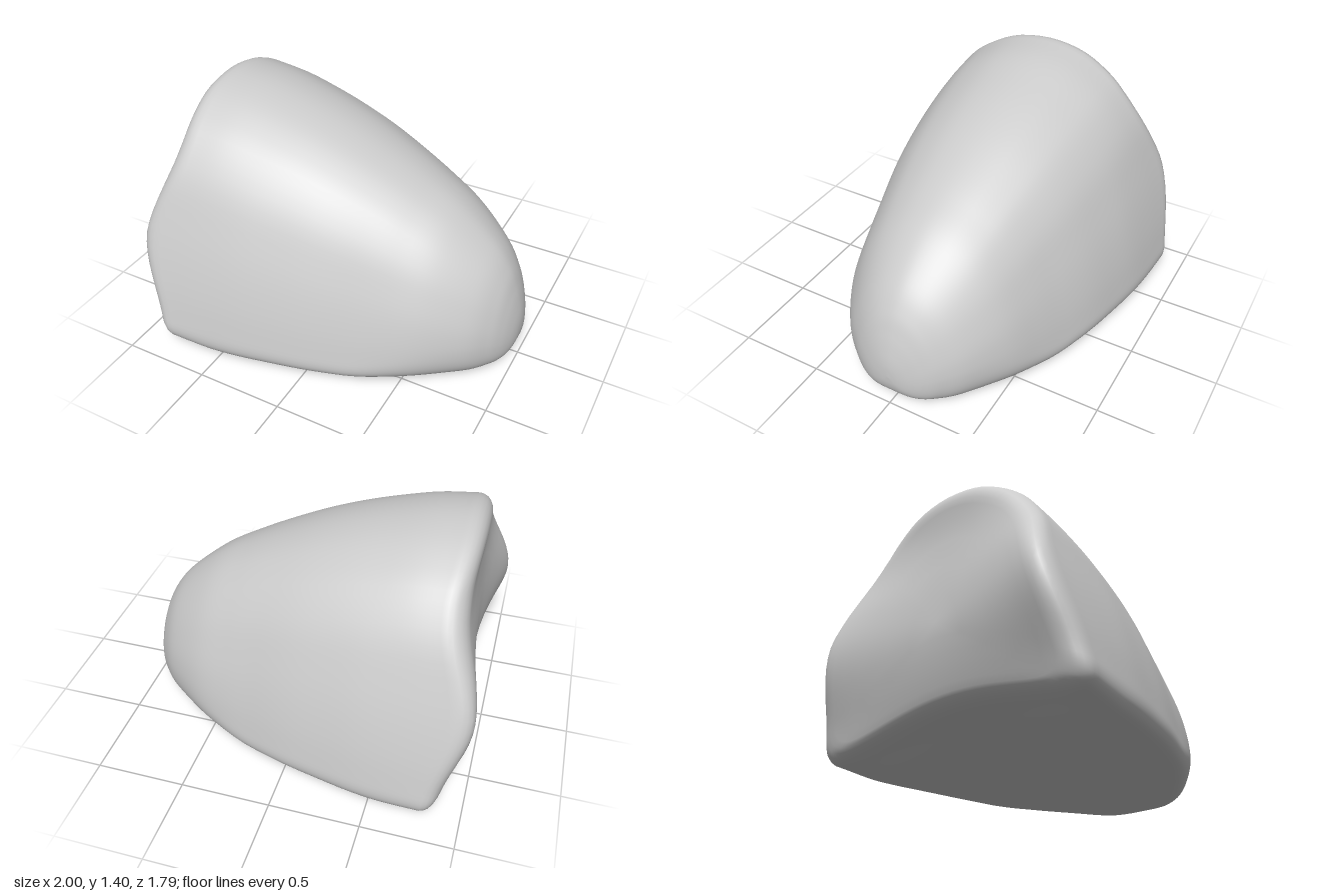
import * as THREE from 'three';

// Stations from back to tip: [x, bottom, top, half width]
const STATIONS = [
  [-0.8, 0.006, 1.4, 0.893], [-0.6, 0.006, 1.375, 0.875], [-0.4, 0.008, 1.325, 0.85],
  [-0.2, 0.012, 1.265, 0.81], [0, 0.014, 1.19, 0.762], [0.2, 0.012, 1.1, 0.697],
  [0.4, 0.008, 1.0, 0.62], [0.6, 0.003, 0.885, 0.525], [0.8, 0.005, 0.715, 0.385],
  [0.9, 0.025, 0.58, 0.277], [0.95, 0.05, 0.46, 0.2], [0.98, 0.09, 0.355, 0.127],
  [0.995, 0.14, 0.275, 0.062], [1, 0.2, 0.2, 0],
];
// Half cross-sections: [fraction of half width, fraction of height]
const DOME = [
  [0, 1], [0.22, 0.98], [0.4, 0.928], [0.55, 0.855], [0.7, 0.725], [0.81, 0.565], [0.89, 0.42],
  [0.95, 0.275], [0.987, 0.15], [1, 0.085], [0.985, 0.043], [0.94, 0.017], [0.84, 0.003], [0.6, 0], [0.3, 0],
];
const TIP = [
  [0, 1], [0.22, 0.975], [0.42, 0.92], [0.6, 0.835], [0.75, 0.73], [0.87, 0.61], [0.95, 0.5],
  [0.99, 0.4], [1, 0.32], [0.985, 0.23], [0.94, 0.15], [0.86, 0.085], [0.74, 0.04], [0.55, 0.01], [0.28, 0],
];
// Back rows: [x, scale towards the middle of the back]
const BACK = [
  [-0.9, 0], [-0.9, 0.2], [-0.9, 0.4], [-0.9, 0.6], [-0.9, 0.75], [-0.899, 0.84],
  [-0.895, 0.885], [-0.884, 0.925], [-0.868, 0.957], [-0.848, 0.98], [-0.825, 0.994],
];
const RING = 96, ROWS = 84;

// Shift of the hollow back: bulging side rims, cut in along the bottom
function backShift(y, z) {
  const { smoothstep } = THREE.MathUtils;
  const rim = 0.095 * Math.exp(-(((y - 0.65) / 0.36) ** 2)) * Math.min(1.12, (z / 0.7) ** 2);
  const middle = 0.015 * Math.exp(-(((y - 0.65) / 0.3) ** 2));
  const cut = 0.12 * Math.exp(-((y / 0.33) ** 2)) * Math.max(0, 1 - z * z);
  const high = 0.02 * smoothstep(y, 0.8, 1.1) - 0.03 * smoothstep(y, 1.15, 1.38);
  return cut + high - rim - middle;
}

function spline(points, closed) {
  return new THREE.CatmullRomCurve3(points, closed, 'catmullrom', 0.5);
}

// Full ring from a mirrored half cross-section
function sectionRing(half) {
  const left = half.map(([s, t]) => new THREE.Vector3(s, t, 0));
  const right = half.slice(1).reverse().map(([s, t]) => new THREE.Vector3(-s, t, 0));
  const curve = spline([...left, new THREE.Vector3(0, 0, 0), ...right], true);
  return Array.from({ length: RING }, (_, j) => curve.getPoint(j / RING));
}

function createShell() {
  const { smoothstep, lerp } = THREE.MathUtils;
  const heights = spline(STATIONS.map(([x, b, h]) => new THREE.Vector3(x, b, h)), false);
  const widths = spline(STATIONS.map(([x, , , w]) => new THREE.Vector3(x, w, 0)), false);
  const dome = sectionRing(DOME), tip = sectionRing(TIP);

  // Rows of the loft: hollow back first, then the body out to the tip
  const rows = BACK.map(([x, scale]) => ({ x, scale, b: 0.006, h: 1.4, w: 0.893 }));
  for (let i = 0; i <= ROWS; i++) {
    const p = heights.getPoint(i / ROWS);
    rows.push({ x: p.x, scale: 1, b: p.y, h: p.z, w: Math.max(0, widths.getPoint(i / ROWS).y) });
  }

  const positions = [], index = [];
  rows.forEach(({ x, scale, b, h, w }, i) => {
    const fade = 1 - smoothstep(x, -0.9, -0.35);
    const arch = 0.14 * (1 - smoothstep(x, -0.9, 0.4));
    const heel = 0.025 * (1 - smoothstep(x, -0.88, -0.5));
    const tipness = smoothstep(x, 0.2, 0.95);
    for (let j = 0; j < RING; j++) {
      const s = lerp(dome[j].x, tip[j].x, tipness);
      const t = lerp(dome[j].y, tip[j].y, tipness);
      // Arched underside, raised a little at the back edge
      const lift = (heel + arch * Math.max(0, 1 - s * s) ** 1.5) * (1 - smoothstep(t, 0, 0.2));
      const y = 0.6 + (b + t * (h - b) + lift - 0.6) * scale;
      const z = s * w * scale;
      positions.push(x + fade * backShift(y, z), Math.max(0, y), z);
      if (i < rows.length - 1) {
        const k = (j + 1) % RING, a = i * RING, c = a + RING;
        index.push(a + j, a + k, c + j, a + k, c + k, c + j);
      }
    }
  });
  const geometry = new THREE.BufferGeometry();
  geometry.setAttribute('position', new THREE.Float32BufferAttribute(positions, 3));
  geometry.setIndex(index);
  geometry.computeVertexNormals();

  // Shared normals at the two poles
  const normal = geometry.attributes.normal;
  for (let j = 0; j < RING; j++) {
    normal.setXYZ(j, -1, 0, 0);
    normal.setXYZ((rows.length - 1) * RING + j, 1, 0, 0);
  }
  return geometry;
}

export function createModel() {
  const group = new THREE.Group();
  group.name = 'taperedDome';
  const body = new THREE.Mesh(createShell(), new THREE.MeshStandardMaterial({ color: 0xcccccc }));
  body.name = 'domedBody';
  group.add(body);
  return group;
}
